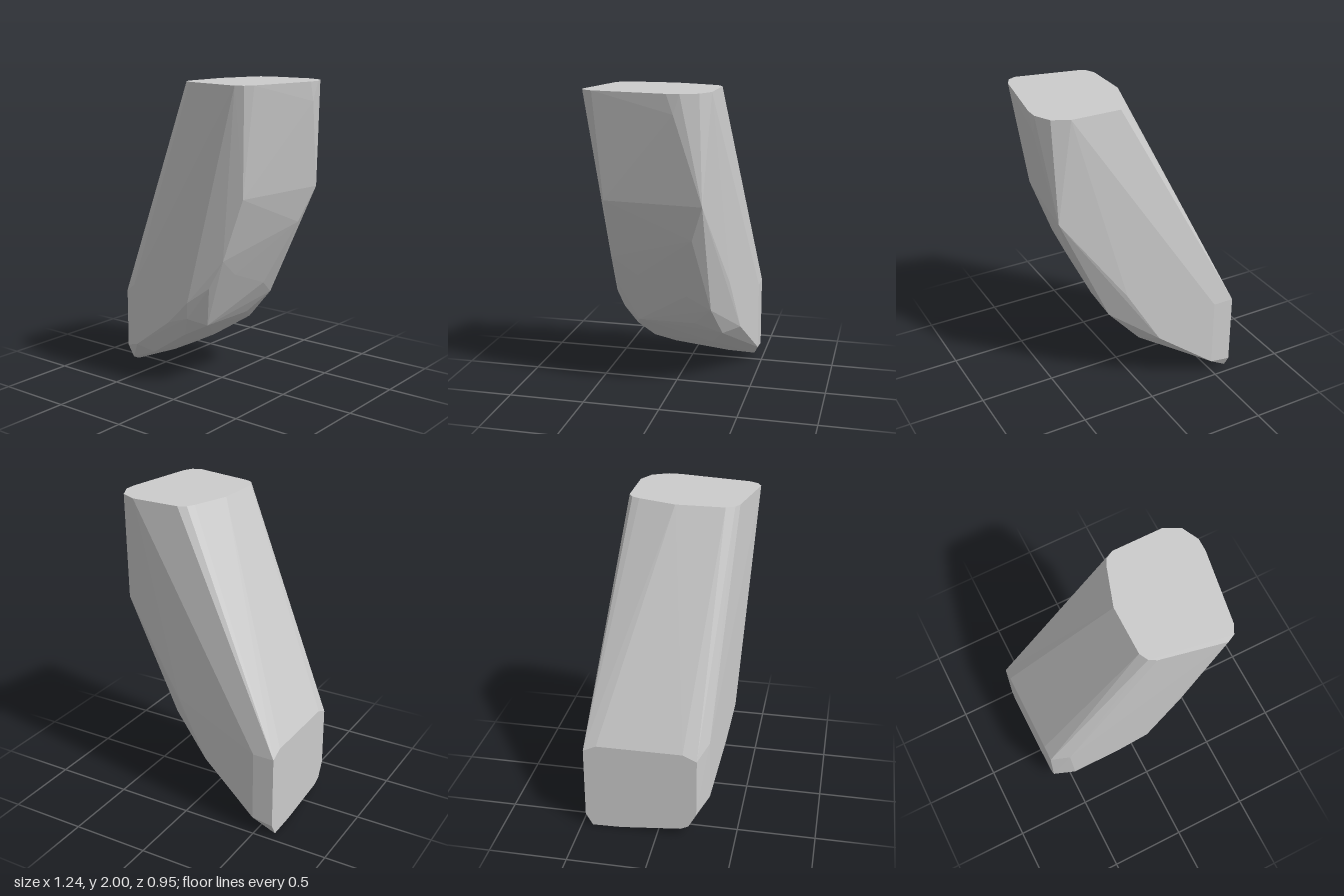
import * as THREE from 'three';
import { ConvexGeometry } from 'three/addons/geometries/ConvexGeometry.js';

const TOP_Y = 2, END_X = -0.62;

// Flat top cap outline: x, z
const topCap = [
  [-0.013, 0], [-0.013, 0.31], [0.015, 0.365], [0.06, 0.39], [0.46, 0.472],
  [0.51, 0.447], [0.54, 0.39], [0.6, 0], [0.617, -0.08], [0.617, -0.16],
  [0.565, -0.265], [0.46, -0.318], [0.14, -0.318], [0.09, -0.29], [0.065, -0.24],
];

// Flat lower end outline: y, z
const endCap = [
  [0.6, 0.16], [0.56, 0.25], [0.17, 0.25], [0.07, 0.2], [0.045, 0.15],
  [0.005, -0.24], [0, -0.43], [0.08, -0.475], [0.56, -0.475], [0.6, -0.39],
];

// Borders of the two flat flanks: x, y (z follows from the slanted plane)
const frontFlank = [[-0.5, 0.63], [-0.48, 0.22], [-0.15, 0.45], [0.035, 0.62]];
const backFlank = [[-0.48, 0.56], [-0.48, 0.1], [-0.1, 0.38], [0.12, 0.75]];

// Curved belly, front edge to back edge: x, y, z
const belly = [
  [0.61, 1.88, -0.12], [0.52, 1.9, 0.385],
  [0.44, 1.32, 0.36], [0.54, 1.33, -0.28],
  [0.46, 1.1, -0.2], [0.29, 0.92, 0.36],
  [0.18, 0.73, 0.36], [0.26, 0.8, 0.2],
  [0.2, 0.58, -0.27], [0.25, 0.68, -0.12],
  [0, 0.5, 0.36], [0.07, 0.44, 0.24], [0.1, 0.45, -0.14],
  [-0.08, 0.36, 0.29], [0, 0.36, -0.31],
  [-0.38, 0.17, 0.25], [-0.22, 0.21, -0.2],
];

export function createModel() {
  const group = new THREE.Group();
  const flankSlope = (x) => 0.165 * (x + 0.48);
  const points = [
    ...topCap.map(([x, z]) => [x, TOP_Y, z]),
    ...endCap.map(([y, z]) => [END_X, y, z]),
    ...frontFlank.map(([x, y]) => [x, y, 0.315 + flankSlope(x)]),
    ...backFlank.map(([x, y]) => [x, y, -0.475 + flankSlope(x)]),
    ...belly,
  ].map((p) => new THREE.Vector3(...p));

  // Faceted convex body spanned between the caps, flanks and belly
  const body = new THREE.Mesh(
    new ConvexGeometry(points),
    new THREE.MeshStandardMaterial({ color: 0xcccccc, flatShading: true }),
  );
  body.name = 'facetedBody';
  group.add(body);
  return group;
}
